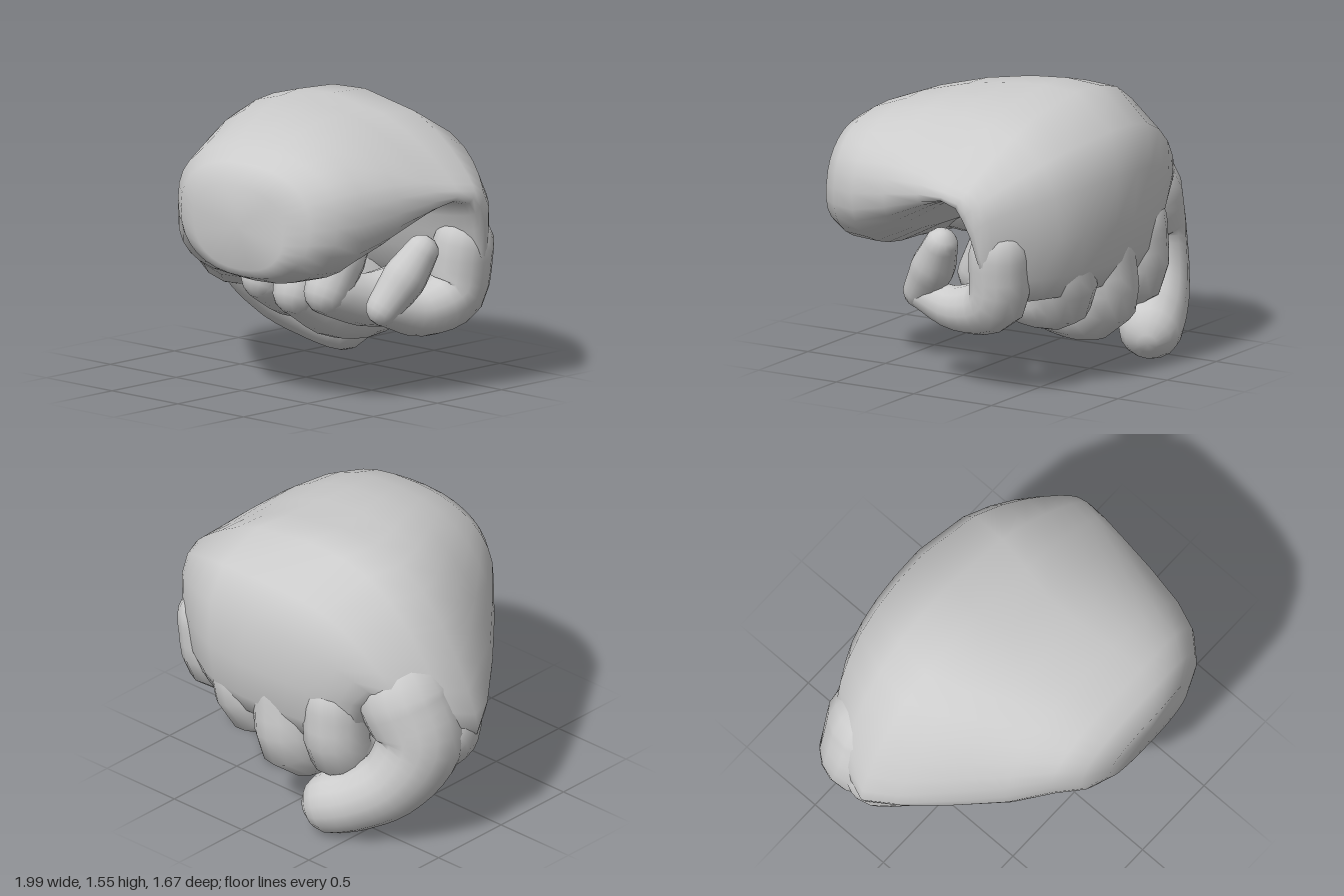
import * as THREE from 'three';

const material = new THREE.MeshStandardMaterial({ color: 0xcccccc });

// Skin a list of equal rings and close both ends with a fan.
function skin(name, rings, flip) {
  const n = rings[0].length, pos = [], index = [];
  rings.forEach(r => r.forEach(p => pos.push(p.x, p.y, p.z)));
  const tri = (a, b, c) => flip ? index.push(a, c, b) : index.push(a, b, c);
  for (let i = 0; i < rings.length - 1; i++) {
    for (let j = 0; j < n; j++) {
      const a = i * n + j, b = i * n + (j + 1) % n;
      tri(a, b, a + n);
      tri(b, b + n, a + n);
    }
  }
  [0, rings.length - 1].forEach((row, end) => {
    const c = new THREE.Vector3();
    rings[row].forEach(p => c.addScaledVector(p, 1 / n));
    const k = pos.length / 3;
    pos.push(c.x, c.y, c.z);
    for (let j = 0; j < n; j++) {
      const a = row * n + j, b = row * n + (j + 1) % n;
      if (end) tri(a, b, k); else tri(b, a, k);
    }
  });
  const g = new THREE.BufferGeometry();
  g.setAttribute('position', new THREE.Float32BufferAttribute(pos, 3));
  g.setIndex(index);
  g.computeVertexNormals();
  const mesh = new THREE.Mesh(g, material);
  mesh.name = name;
  return mesh;
}

// Tapered limb with round ends; each point is [x, y, z, radius].
function limb(name, pts, sides = 14) {
  const curve = new THREE.CatmullRomCurve3(pts.map(p => new THREE.Vector3(...p)));
  const steps = (pts.length - 1) * 4;
  const frames = curve.computeFrenetFrames(steps);
  const rings = [];
  const ring = (i, shift, scale) => {
    const u = curve.getUtoTmapping(i / steps) * (pts.length - 1);
    const k = Math.min(Math.floor(u), pts.length - 2);
    const r = THREE.MathUtils.lerp(pts[k][3], pts[k + 1][3], u - k);
    const c = curve.getPointAt(i / steps).addScaledVector(frames.tangents[i], shift * r);
    rings.push(Array.from({ length: sides }, (_, j) => {
      const t = j / sides * Math.PI * 2;
      return c.clone()
        .addScaledVector(frames.normals[i], Math.cos(t) * r * scale)
        .addScaledVector(frames.binormals[i], Math.sin(t) * r * scale);
    }));
  };
  const dome = [0.25, 0.5, 0.8];
  [...dome].reverse().forEach(a => ring(0, -Math.sin(a * Math.PI / 2), Math.cos(a * Math.PI / 2)));
  for (let i = 0; i <= steps; i++) ring(i, 0, 1);
  dome.forEach(a => ring(steps, Math.sin(a * Math.PI / 2), Math.cos(a * Math.PI / 2)));
  return skin(name, rings, false);
}

// Palm sections from the wrist over the knuckles and down the back wall:
// outer y, z, inner y, z, right x, left x, drop at right, drop at left,
// left edge forward, roundness of the left edge
const sections = [
  [1.23, 0.83, 0.76, 0.80, -0.06, 0.60, 0, 0, -0.04, 0.85],
  [1.34, 0.75, 0.71, 0.75, -0.22, 0.74, 0, 0, -0.04, 0.85],
  [1.41, 0.64, 0.67, 0.64, -0.35, 0.84, 0, 0, -0.04, 0.85],
  [1.48, 0.45, 0.66, 0.48, -0.52, 0.90, -0.15, -0.05, 0, 0.85],
  [1.53, 0.22, 0.78, 0.25, -0.72, 0.94, -0.32, -0.15, 0, 0.8],
  [1.55, 0.00, 0.96, 0.00, -0.90, 0.97, -0.52, -0.28, 0, 0.7],
  [1.555, -0.20, 1.06, -0.14, -0.99, 0.99, -0.64, -0.37, 0, 0.58],
  [1.55, -0.43, 1.03, -0.23, -0.94, 1.0, -0.56, -0.38, 0.1, 0.55],
  [1.38, -0.70, 0.96, -0.26, -0.80, 1.0, -0.36, -0.25, 0.29, 0.55],
  [1.15, -0.79, 0.86, -0.29, -0.66, 0.99, -0.14, -0.1, 0.32, 0.6],
  [0.88, -0.80, 0.74, -0.33, -0.56, 0.97, 0, 0, 0.32, 0.65],
  [0.66, -0.77, 0.62, -0.39, -0.49, 0.93, 0, 0, 0.3, 0.7],
  [0.53, -0.70, 0.54, -0.46, -0.42, 0.86, 0, 0, 0.24, 0.8]
];

function palm() {
  const n = 32;
  const soft = (v, e) => Math.sign(v) * Math.abs(v) ** e;
  return skin('palm', sections.map(([oy, oz, iy, iz, xr, xl, dr, dl, fwd, round]) =>
    Array.from({ length: n }, (_, j) => {
      const t = j / n * Math.PI * 2, e = Math.cos(t) > 0 ? round : 0.85;
      const u = soft(Math.cos(t), e), v = soft(Math.sin(t), e);
      // The left edge slopes on its outer face only; the right edge sags into the thumb root
      const edge = u > 0 ? u * u * (1 + v) / 2 : Math.abs(u) ** (2.25 + v);
      return new THREE.Vector3(
        (xl + xr) / 2 + (xl - xr) / 2 * u,
        (oy + iy) / 2 + (oy - iy) / 2 * v + edge * (u < 0 ? dr : dl),
        (oz + iz) / 2 + (oz - iz) / 2 * v + (u > 0 ? edge * fwd : 0));
    })), true);
}

// Curled fingers: knuckle to last joint, then the fingertip folded back up.
const fingers = {
  little: {
    base: [[0.79, 0.8, -0.42, 0.17], [0.76, 0.53, -0.38, 0.17], [0.74, 0.445, -0.13, 0.128], [0.72, 0.5, 0.13, 0.09]],
    tip: [[0.72, 0.51, 0.13, 0.1], [0.77, 0.67, 0.02, 0.125], [0.82, 0.81, -0.06, 0.095]]
  },
  ring: {
    base: [[0.41, 0.78, -0.55, 0.19], [0.34, 0.5, -0.53, 0.19], [0.27, 0.44, -0.23, 0.15], [0.22, 0.51, 0.05, 0.125]],
    tip: [[0.22, 0.52, 0.06, 0.13], [0.23, 0.7, -0.04, 0.14], [0.25, 0.87, -0.15, 0.1]]
  },
  middle: {
    base: [[0.04, 0.72, -0.58, 0.2], [0.0, 0.39, -0.56, 0.205], [-0.02, 0.35, -0.26, 0.17], [-0.04, 0.47, 0.02, 0.13]],
    tip: [[-0.04, 0.48, 0.03, 0.135], [-0.05, 0.66, -0.06, 0.145], [-0.06, 0.84, -0.17, 0.105]]
  },
  index: {
    base: [[-0.32, 0.76, -0.58, 0.19], [-0.33, 0.47, -0.56, 0.185], [-0.33, 0.4, -0.28, 0.155], [-0.33, 0.5, -0.02, 0.125]],
    tip: [[-0.33, 0.51, -0.01, 0.125], [-0.31, 0.68, -0.08, 0.125], [-0.3, 0.84, -0.17, 0.1]]
  }
};

export function createModel() {
  const hand = new THREE.Group();
  hand.name = 'curledHand';
  hand.add(palm());
  for (const [name, f] of Object.entries(fingers)) {
    const finger = new THREE.Group();
    finger.name = name + 'Finger';
    finger.add(limb(name + 'FingerBase', f.base), limb(name + 'FingerTip', f.tip));
    hand.add(finger);
  }
  // Thumb, with its fleshy root merging into the side of the palm
  hand.add(limb('thumb', [
    [-0.64, 0.84, -0.38, 0.27], [-0.74, 0.6, -0.37, 0.25],
    [-0.67, 0.37, -0.48, 0.205], [-0.5, 0.23, -0.6, 0.18], [-0.37, 0.18, -0.66, 0.178]], 16));
  hand.add(limb('thumbRoot', [
    [-0.08, 0.9, 0.34, 0.25], [-0.3, 0.86, 0.18, 0.27], [-0.54, 0.75, -0.02, 0.27], [-0.74, 0.62, -0.23, 0.24]], 16));
  return hand;
}
